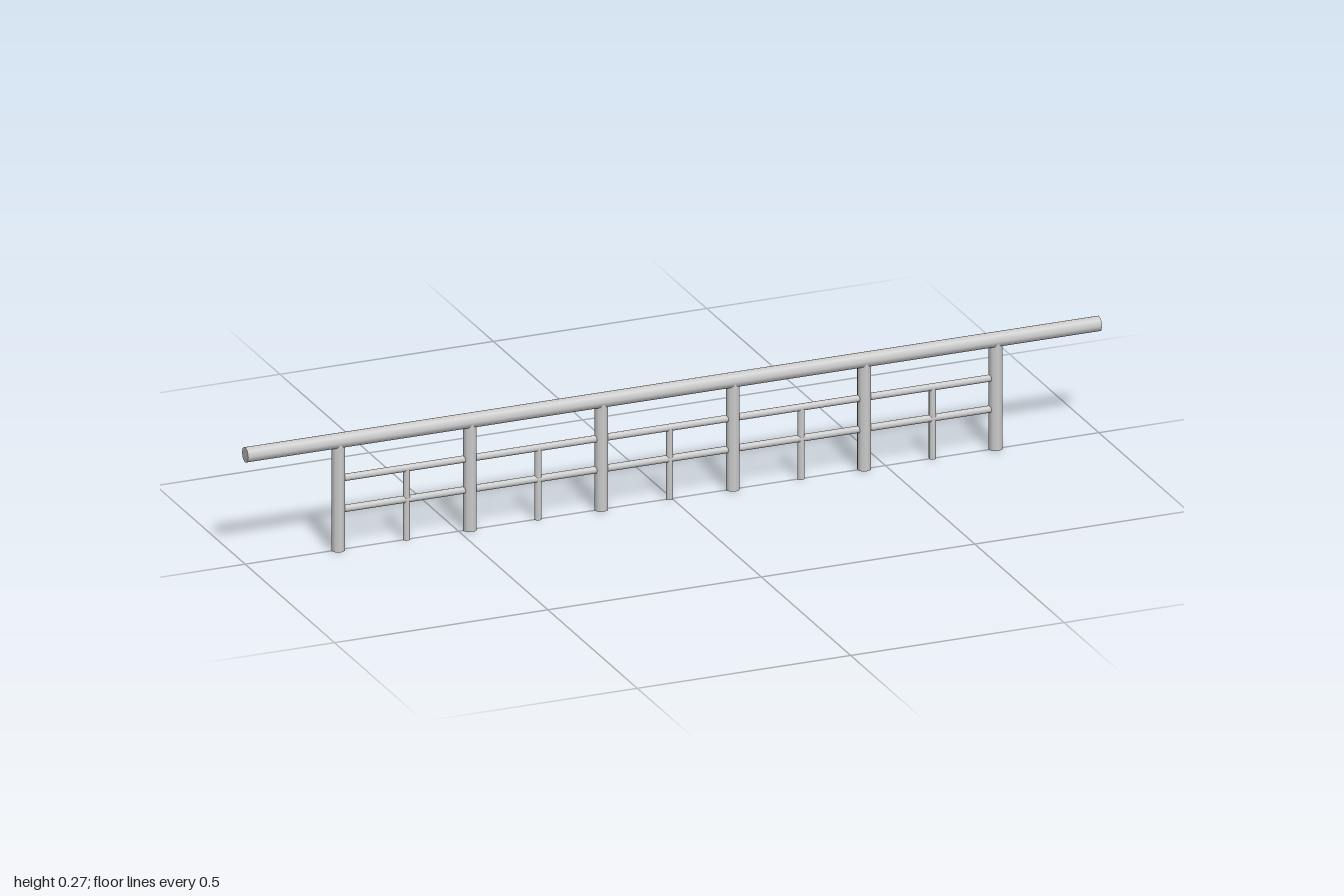
import * as THREE from 'three';

const material = new THREE.MeshStandardMaterial({ color: 0xcccccc });
const SIDES = 8;

function bar(name, radius, length, x, y, horizontal = false) {
  const geometry = new THREE.CylinderGeometry(radius, radius, length, SIDES);
  if (horizontal) geometry.rotateZ(Math.PI / 2);
  const mesh = new THREE.Mesh(geometry, material);
  mesh.name = name;
  mesh.position.set(x, y, 0);
  return mesh;
}

export function createModel() {
  const group = new THREE.Group();
  group.name = 'railing';

  const postCount = 6, spacing = 0.308, firstX = -0.782;
  const span = spacing * (postCount - 1);
  const topY = 0.254, upperY = 0.166, lowerY = 0.094;

  // Handrail overhanging both ends
  group.add(bar('handrail', 0.018, 2, 0, topY, true));

  // Thin rails running between the end posts
  group.add(bar('upperRail', 0.0085, span, firstX + span / 2, upperY, true));
  group.add(bar('lowerRail', 0.0085, span, firstX + span / 2, lowerY, true));

  // Main posts, with a short thin baluster in each bay
  for (let i = 0; i < postCount; i++) {
    const x = firstX + i * spacing;
    group.add(bar('post', 0.016, topY, x, topY / 2));
    if (i < postCount - 1) {
      group.add(bar('baluster', 0.0085, upperY, x + spacing / 2 + 0.006, upperY / 2));
    }
  }
  return group;
}
